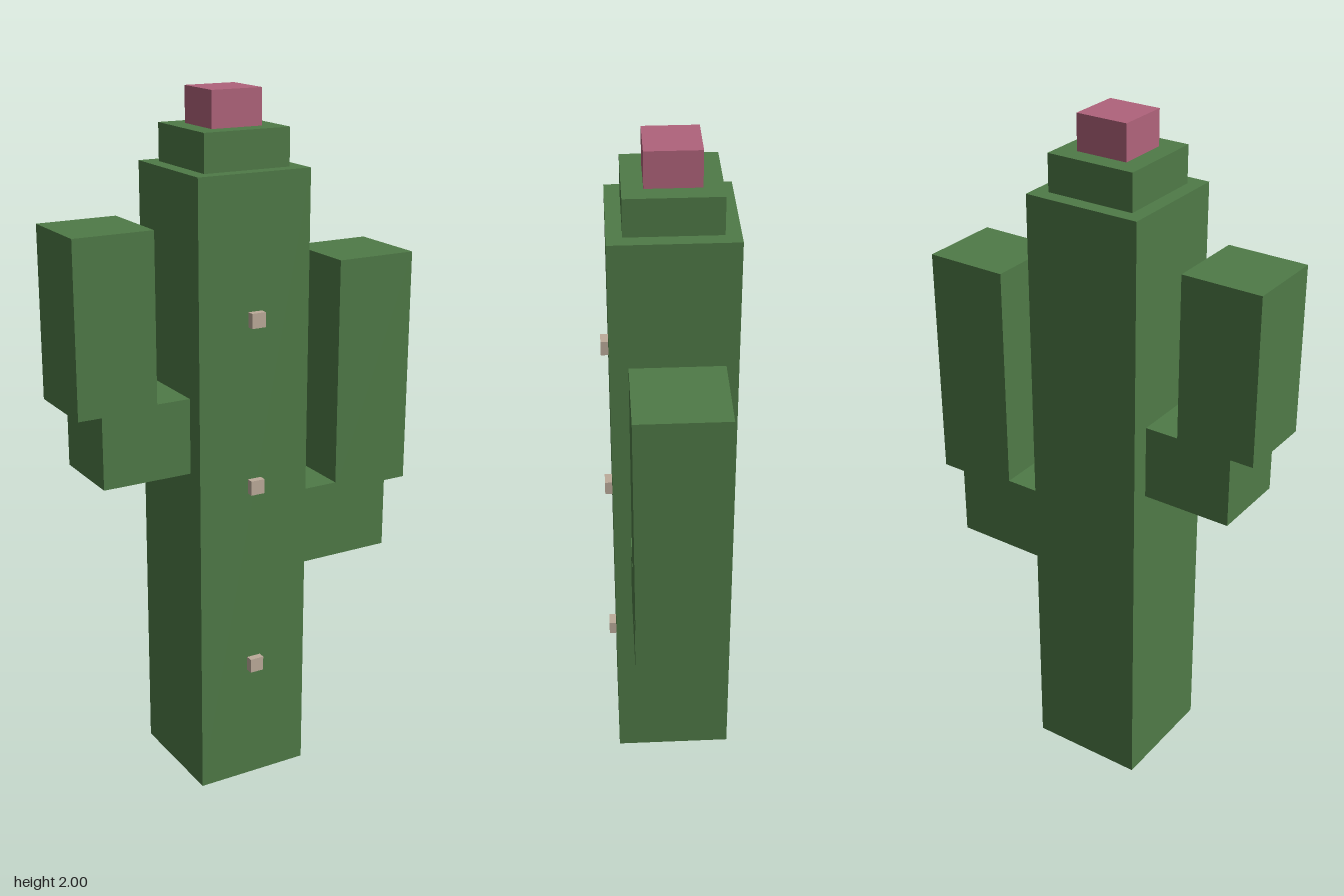
import * as THREE from 'three';

const material = (name, color) => {
  const m = new THREE.MeshStandardMaterial({ color });
  m.name = name;
  return m;
};

export function createModel() {
  const green = material('cactus green', 0x4f7a47);
  const pink = material('flower pink', 0xb0637b);
  const beige = material('spine beige', 0xbcab9a);

  const cactus = new THREE.Group();
  cactus.name = 'cactus';

  // Box given by its extents on each axis
  const block = (name, mat, [x0, x1], [y0, y1], [z0, z1], parent = cactus) => {
    const mesh = new THREE.Mesh(new THREE.BoxGeometry(x1 - x0, y1 - y0, z1 - z0), mat);
    mesh.position.set((x0 + x1) / 2, (y0 + y1) / 2, (z0 + z1) / 2);
    mesh.name = name;
    parent.add(mesh);
  };

  // Trunk, stepped cap and flower
  block('trunk', green, [-0.197, 0.145], [0, 1.795], [-0.183, 0.16]);
  block('cap', green, [-0.156, 0.104], [1.795, 1.9], [-0.141, 0.118]);
  block('flower', pink, [-0.102, 0.05], [1.9, 2], [-0.088, 0.062]);

  // Each arm is a horizontal elbow and an upright that overhangs it
  const arm = (name, elbowX, elbowY, uprightX, uprightY, z) => {
    const group = new THREE.Group();
    group.name = name;
    block('elbow', green, elbowX, elbowY, z, group);
    block('upright', green, uprightX, uprightY, z, group);
    cactus.add(group);
  };
  arm('leftArm', [0.145, 0.455], [0.625, 0.856], [0.28, 0.525], [0.83, 1.52], [-0.135, 0.112]);
  arm('rightArm', [-0.46, -0.197], [0.97, 1.187], [-0.528, -0.296], [1.175, 1.66], [-0.128, 0.104]);

  // Spines down the front
  for (const y of [0.367, 0.922, 1.402]) {
    block('spine', beige, [-0.046, -0.004], [y - 0.021, y + 0.021], [0.155, 0.181]);
  }

  return cactus;
}
